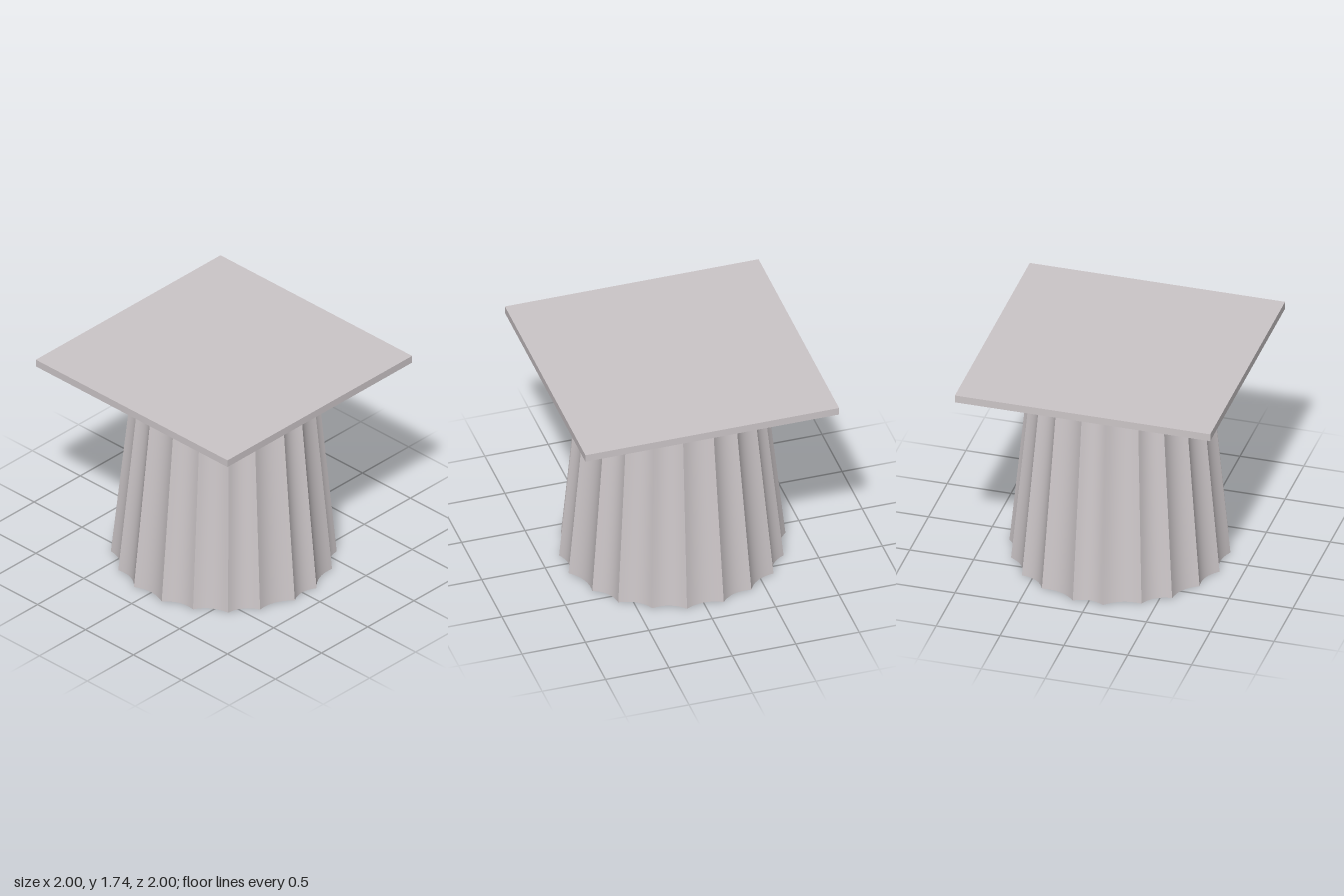
import * as THREE from 'three';
import { mergeGeometries } from 'three/addons/utils/BufferGeometryUtils.js';

const SHAFT_TOP = 1.618;
const TOP_SCALE = 0.81; // taper of the shaft
const FLUTE_DEPTH = 0.038;

// Sharp ridges of one quarter of the shaft at the ground (x, z), front to side
const QUARTER = [[0.145, 0.823], [0.39, 0.738], [0.612, 0.588], [0.754, 0.39], [0.855, 0.118]];

// Mirror the quarter into the full ring of 20 ridges
function ridgeRing() {
  const back = QUARTER.map(([x, z]) => [x, -z]).reverse();
  const half = [...QUARTER, ...back];
  const other = half.map(([x, z]) => [-x, z]).reverse();
  return [...half, ...other].map(([x, z]) => new THREE.Vector2(x, z));
}

// One concave flute: a plane bent into a shallow arc between two ridges
function flute(a, b) {
  const geo = new THREE.PlaneGeometry(2, 1, 8, 1);
  const pos = geo.attributes.position;
  const inward = a.clone().add(b).normalize().negate();
  for (let i = 0; i < pos.count; i++) {
    const u = pos.getX(i);
    const t = pos.getY(i) + 0.5;
    const p = a.clone().lerp(b, (u + 1) / 2).addScaledVector(inward, FLUTE_DEPTH * (1 - u * u));
    p.multiplyScalar(THREE.MathUtils.lerp(1, TOP_SCALE, t));
    pos.setXYZ(i, p.x + THREE.MathUtils.lerp(-0.002, 0.01, t), t * SHAFT_TOP, p.y);
  }
  geo.computeVertexNormals();
  return geo;
}

export function createModel() {
  const group = new THREE.Group();
  const color = 0xccc6c8;
  const stone = new THREE.MeshStandardMaterial({ color });
  const thinStone = new THREE.MeshStandardMaterial({ color, side: THREE.DoubleSide });
  const add = (name, geometry, material) => {
    const mesh = new THREE.Mesh(geometry, material);
    mesh.name = name;
    group.add(mesh);
    return mesh;
  };

  // Hollow fluted shaft, open at the bottom
  const ring = ridgeRing();
  const flutes = ring.map((p, i) => flute(p, ring[(i + 1) % ring.length]));
  add('flutedShaft', mergeGeometries(flutes), thinStone);

  // Flared round cushion with a small stepped neck
  const profile = [[0, 1.615], [0.705, 1.615], [0.715, 1.622], [0.725, 1.627], [0.8, 1.641], [0.9, 1.66], [0.98, 1.676]];
  const cushion = new THREE.LatheGeometry(profile.map(([r, y]) => new THREE.Vector2(r, y)), 64);
  add('cushion', cushion, thinStone);

  // Square slab on top
  add('slab', new THREE.BoxGeometry(2, 0.06, 2), stone).position.y = 1.705;

  return group;
}
